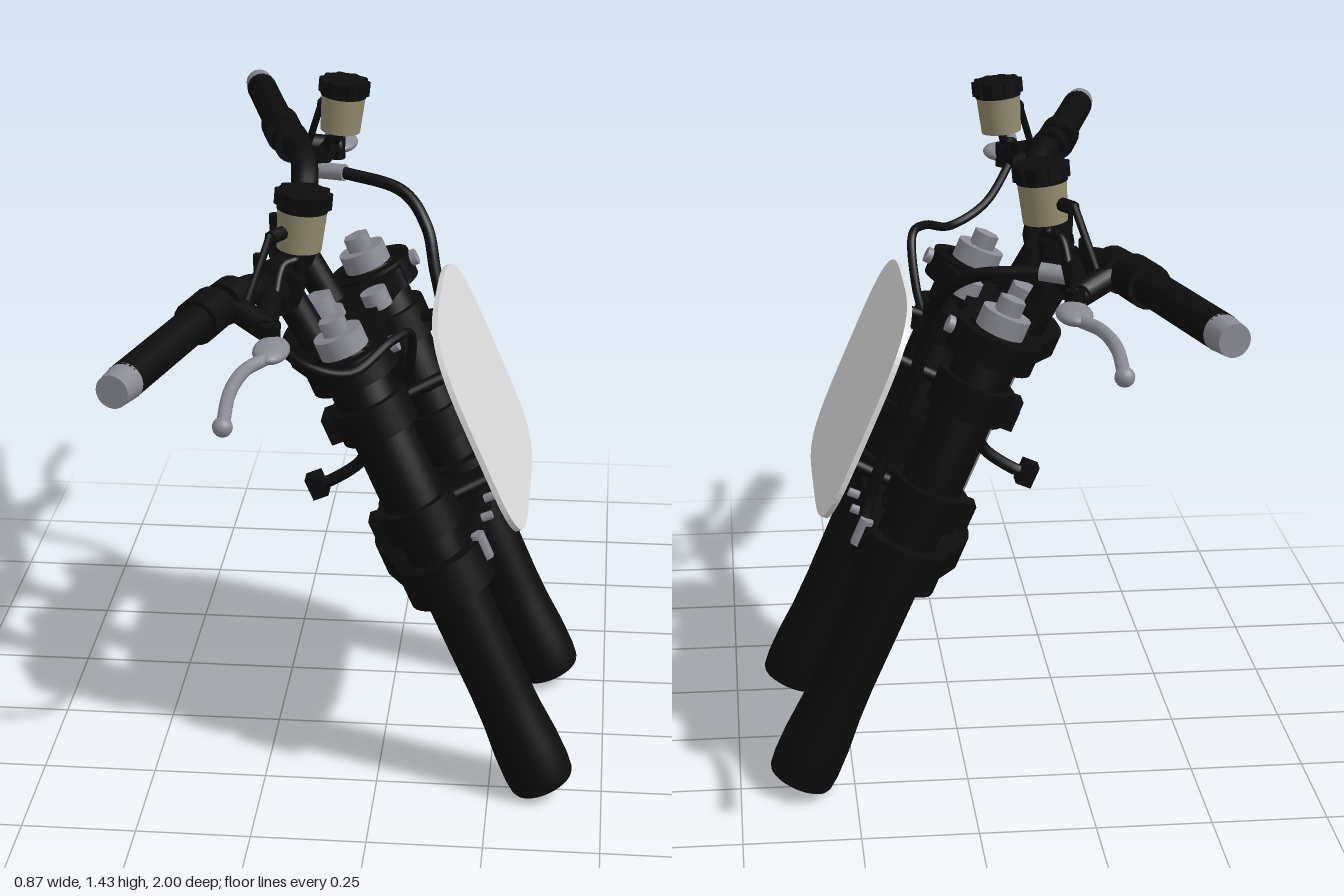
import * as THREE from 'three';

const mat = (name, color) => {
  const m = new THREE.MeshStandardMaterial({ color });
  m.name = name;
  return m;
};
const V = (x, y, z) => new THREE.Vector3(x, y, z);

export function createModel() {
  const black = mat('black', 0x0d0d0d);
  const silver = mat('silver', 0x8a8a94);
  const tan = mat('tan', 0x958c70);
  const white = mat('plateWhite', 0xdcdcdc);

  const model = new THREE.Group();
  model.name = 'motorcycleFrontEnd';

  const add = (parent, name, geo, m, x = 0, y = 0, z = 0) => {
    const mesh = new THREE.Mesh(geo, m);
    mesh.name = name;
    mesh.position.set(x, y, z);
    parent.add(mesh);
    return mesh;
  };
  const cyl = (r, h, n = 32, r2 = r) => new THREE.CylinderGeometry(r, r2, h, n);
  const rod = (parent, name, a, b, r, m, n = 20, rEnd = r) => {
    const d = b.clone().sub(a);
    const mid = a.clone().add(b).multiplyScalar(0.5);
    const mesh = add(parent, name, cyl(rEnd, d.length(), n, r), m, mid.x, mid.y, mid.z);
    mesh.quaternion.setFromUnitVectors(V(0, 1, 0), d.normalize());
    return mesh;
  };
  const tube = (parent, name, pts, r, m, seg = 40, tension = 0.5) =>
    add(parent, name, new THREE.TubeGeometry(
      new THREE.CatmullRomCurve3(pts, false, 'catmullrom', tension), seg, r, 12), m);

  // Raked assembly: local y runs up the fork, local x points forward
  const fork = new THREE.Group();
  fork.name = 'forkAssembly';
  fork.position.set(0.37, 0.036, 0);
  fork.rotation.z = 0.405;
  model.add(fork);
  const legZ = 0.257;

  // Fork legs with flared lower ends, collars, caps and plate studs
  const legProfile = [[0, 0], [0.068, 0], [0.072, 0.008], [0.075, 0.04], [0.074, 0.1], [0.068, 0.18],
    [0.066, 0.26], [0.068, 0.5], [0.066, 0.6], [0.066, 1.1], [0, 1.1]].map(p => new THREE.Vector2(...p));
  for (const s of [1, -1]) {
    const z = s * legZ;
    add(fork, 'forkLeg', new THREE.LatheGeometry(legProfile, 40), black, 0, 0, z);
    for (const v of [0.70, 0.95]) {
      add(fork, 'collar', cyl(0.084, 0.075), black, 0, v, z);
      add(fork, 'collarPinch', new THREE.BoxGeometry(0.05, 0.06, 0.05), black, -0.08, v, z);
      rod(fork, 'plateStud', V(0.05, v, z * 0.9), V(0.177, v, z * 0.75), 0.014, black);
    }
    add(fork, 'lowerClampRing', cyl(0.098, 0.09), black, 0, 0.56, z);
    add(fork, 'upperClampRing', cyl(0.096, 0.06), black, 0, 1.07, z);
    add(fork, 'forkCap', cyl(0.053, 0.045), silver, 0, 1.12, z);
    add(fork, 'forkCapNut', cyl(0.03, 0.04, 6), silver, 0, 1.155, z);
    add(fork, 'clampBolt', cyl(0.016, 0.06, 6), silver, 0.096, 0.585, z + s * 0.005);
    rod(fork, 'plateBolt', V(0.07, 0.555, s * 0.05), V(0.095, 0.555, s * 0.05), 0.01, silver, 6);
    // Curved stop arm behind the leg
    tube(fork, 'stopArm', [V(-0.05, 0.87, s * 0.2), V(-0.09, 0.83, s * 0.19),
      V(-0.16, 0.81, s * 0.18), V(-0.2, 0.81, s * 0.18)], 0.013, black, 20);
    add(fork, 'stopArmEnd', new THREE.BoxGeometry(0.035, 0.05, 0.04), black, -0.2, 0.81, s * 0.18);
  }

  // Clamp bridges, extruded from a plan outline
  const bridge = (name, v, h, front) => {
    const s = new THREE.Shape();
    s.moveTo(0.08, legZ);
    s.lineTo(0.08, 0.18);
    s.quadraticCurveTo(front, 0.14, front, 0);
    s.quadraticCurveTo(front, -0.14, 0.08, -0.18);
    s.lineTo(0.08, -legZ);
    s.lineTo(-0.04, -legZ - 0.075);
    s.lineTo(-0.09, -legZ + 0.01);
    s.lineTo(-0.165, -0.09);
    s.quadraticCurveTo(-0.195, 0, -0.165, 0.09);
    s.lineTo(-0.09, legZ - 0.01);
    s.lineTo(-0.04, legZ + 0.075);
    const g = new THREE.ExtrudeGeometry(s, { depth: h, bevelEnabled: false, curveSegments: 10 });
    add(fork, name, g.rotateX(-Math.PI / 2), black, 0, v - h / 2, 0);
  };
  bridge('lowerClamp', 0.55, 0.065, 0.07);
  bridge('upperClamp', 1.07, 0.045, 0.045);

  // Steering stem
  add(fork, 'steeringStem', cyl(0.048, 0.6), silver, -0.085, 0.8, 0);
  add(fork, 'stemFoot', cyl(0.034, 0.05), silver, -0.1, 0.5, 0);
  add(fork, 'stemCollar', cyl(0.058, 0.06), black, -0.085, 0.62, 0);
  add(fork, 'stemWasher', cyl(0.055, 0.02), silver, -0.085, 1.1, 0);
  add(fork, 'stemNut', cyl(0.045, 0.05, 6), silver, -0.085, 1.125, 0);
  add(fork, 'frontBolt', cyl(0.03, 0.04, 16), silver, 0.045, 1.1, 0);

  // Number plate: a soft rounded rectangle, rounder at the top
  const outline = [];
  for (let i = 0; i < 80; i++) {
    const a = (i / 80) * Math.PI * 2, c = Math.cos(a), s = Math.sin(a);
    const e = 2 / (s > 0 ? 3.7 : 4.5);
    outline.push(new THREE.Vector2(0.307 * Math.sign(c) * Math.abs(c) ** e,
      0.255 * Math.sign(s) * Math.abs(s) ** e));
  }
  const plate = new THREE.ExtrudeGeometry(new THREE.Shape(outline), { depth: 0.012, bevelEnabled: false });
  add(fork, 'numberPlate', plate.rotateY(Math.PI / 2), white, 0.172, 0.813, 0);

  // Handlebar
  const half = [[-0.215, 1.14, 0.2], [-0.215, 1.155, 0.26], [-0.217, 1.215, 0.36],
    [-0.232, 1.243, 0.44], [-0.28, 1.25, 0.55], [-0.37, 1.25, 0.86]];
  const barPts = [...half.map(p => V(p[0], p[1], -p[2])).reverse(), V(-0.215, 1.14, 0), ...half.map(p => V(...p))];
  tube(model, 'handlebar', barPts, 0.031, black, 120, 0.35);

  for (const s of [1, -1]) {
    const P = (x, y, z) => V(x, y, z * s);

    // Riser and bar clamp
    rod(model, 'riser', P(-0.13, 1.0, 0.13), P(-0.205, 1.13, 0.13), 0.034, black);
    rod(model, 'barClamp', P(-0.215, 1.135, 0.092), P(-0.215, 1.135, 0.168), 0.053, black);
    for (const dx of [-0.042, 0.042])
      add(model, 'barClampBolt', cyl(0.012, 0.08, 8), black, -0.215 + dx, 1.165, 0.13 * s);

    // Grip, flange and end cap
    rod(model, 'grip', P(-0.305, 1.25, 0.63), P(-0.392, 1.25, 0.945), 0.036, black);
    rod(model, 'switchHousing', P(-0.287, 1.25, 0.565), P(-0.309, 1.25, 0.645), 0.045, black);
    rod(model, 'barEnd', P(-0.39, 1.25, 0.94), P(-0.405, 1.25, 0.993), 0.036, silver, 24, 0.032);

    // Lever perch and master cylinder
    rod(model, 'perchClamp', P(-0.258, 1.248, 0.49), P(-0.274, 1.248, 0.54), 0.043, black);
    rod(model, 'perchArm', P(-0.265, 1.245, 0.52), P(-0.17, 1.215, 0.59), 0.026, black);
    rod(model, 'masterCylinder', P(-0.19, 1.235, 0.42), P(-0.18, 1.22, 0.6), 0.022, black);
    add(model, 'leverPivot', cyl(0.02, 0.055, 16), black, -0.17, 1.21, 0.61 * s);

    // Lever
    const blade = add(model, 'leverRoot', new THREE.SphereGeometry(1, 20, 14), silver, -0.162, 1.205, 0.66 * s);
    blade.scale.set(0.036, 0.018, 0.06);
    tube(model, 'lever', [P(-0.18, 1.208, 0.6), P(-0.16, 1.205, 0.68), P(-0.2, 1.2, 0.75),
      P(-0.215, 1.195, 0.85), P(-0.21, 1.183, 0.97)], 0.013, silver);
    add(model, 'leverTip', new THREE.SphereGeometry(0.019, 16, 12), silver, -0.21, 1.182, 0.975 * s);

    // Fluid reservoir with ribbed cap
    const pot = new THREE.Group();
    pot.name = 'reservoir';
    pot.position.set(-0.135, 1.36, 0.393 * s);
    pot.rotation.z = -0.1;
    model.add(pot);
    add(pot, 'cup', cyl(0.05, 0.085, 32, 0.045), tan);
    add(pot, 'cap', cyl(0.052, 0.036, 24), black, 0, 0.058, 0);
    for (let i = 0; i < 10; i++) {
      const a = (i / 10) * Math.PI * 2;
      add(pot, 'capRib', cyl(0.01, 0.032, 8), black, Math.cos(a) * 0.048, 0.06, Math.sin(a) * 0.048);
    }
    tube(model, 'reservoirHose', [P(-0.14, 1.33, 0.393), P(-0.145, 1.295, 0.395),
      P(-0.17, 1.285, 0.42), P(-0.18, 1.235, 0.46)], 0.009, black, 24);
    const strap = rod(model, 'reservoirBracket', P(-0.225, 1.25, 0.525), P(-0.187, 1.365, 0.46), 0.016, black, 8);
    strap.scale.x = 0.5;
    rod(model, 'bracketArm', P(-0.187, 1.36, 0.462), P(-0.155, 1.36, 0.41), 0.014, black, 8);

    // Short cable into the back of the plate
    rod(model, 'cableFitting', P(0.015, 1.055, 0.26), P(0.045, 1.07, 0.26), 0.018, silver);
  }

  // Thin cable looping from the left bar, thick hose down from the right bar
  tube(model, 'loopCable', [V(-0.19, 1.215, 0.58), V(-0.12, 1.12, 0.52), V(-0.03, 1.08, 0.46),
    V(0.04, 1.11, 0.36), V(0.075, 1.1, 0.29), V(0.07, 1.0, 0.24), V(0.05, 0.92, 0.22)], 0.01, black, 60);
  rod(model, 'hoseFitting', V(-0.2, 1.21, -0.43), V(-0.13, 1.215, -0.4), 0.019, silver);
  tube(model, 'brakeHose', [V(-0.14, 1.215, -0.405), V(0.0, 1.195, -0.35), V(0.065, 1.13, -0.29),
    V(0.09, 1.03, -0.25), V(0.125, 0.9, -0.23), V(0.205, 0.69, -0.235), V(0.225, 0.61, -0.25)], 0.014, black, 70);
  return model;
}
